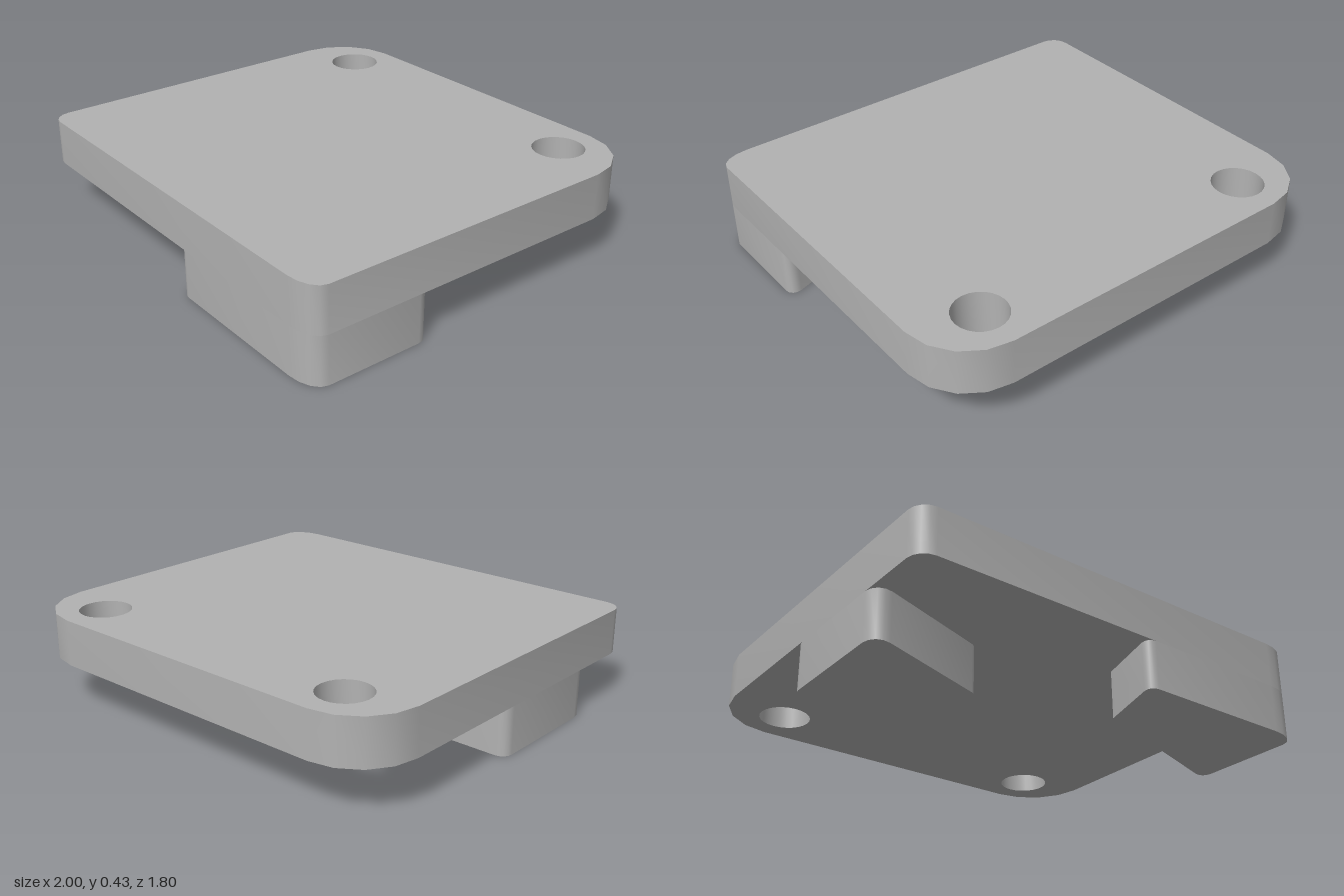
import * as THREE from 'three';
import { toCreasedNormals } from 'three/addons/utils/BufferGeometryUtils.js';

// Outline with rounded corners; each corner is [x, z, setback before, setback after]
function roundedOutline(corners, steps = 4) {
  const points = [];
  corners.forEach(([x, z, before, after], i) => {
    const c = new THREE.Vector2(x, -z);
    if (!before) {
      points.push(c);
      return;
    }
    const at = (n) => {
      const [px, pz] = corners[(n + corners.length) % corners.length];
      return new THREE.Vector2(px, -pz);
    };
    const toPrev = at(i - 1).sub(c).setLength(before);
    const toNext = at(i + 1).sub(c).setLength(after ?? before);
    for (let s = 0; s <= steps; s++) {
      const t = (s / steps) * Math.PI / 2;
      points.push(c.clone()
        .addScaledVector(toPrev, 1 - Math.sin(t))
        .addScaledVector(toNext, 1 - Math.cos(t)));
    }
  });
  return new THREE.Shape(points);
}

// Upright slab from an outline, between two heights
function slab(name, shape, bottom, top, material) {
  const extruded = new THREE.ExtrudeGeometry(shape, {
    depth: top - bottom, bevelEnabled: false, curveSegments: 12,
  });
  extruded.rotateX(-Math.PI / 2).translate(0, bottom, 0);
  const mesh = new THREE.Mesh(toCreasedNormals(extruded, 0.6), material);
  mesh.name = name;
  return mesh;
}

export function createModel() {
  const group = new THREE.Group();
  group.name = 'mountingPlate';
  const grey = new THREE.MeshStandardMaterial({ color: 0xb2b2b2 });
  grey.name = 'grey';
  const underside = 0.22, top = 0.43;

  // Plate: wide rear corners, small front corners
  const plate = roundedOutline([
    [-1, -0.9, 0.29],
    [-1, 0.9, 0.08],
    [1, 0.9, 0.14, 0.08],
    [1, -0.9, 0.29],
  ]);
  // Screw holes through the rear corners
  for (const side of [-1, 1]) {
    const hole = new THREE.Path();
    hole.absarc(side * 0.71, 0.69, 0.118, 0, Math.PI * 2, true);
    plate.holes.push(hole);
  }
  group.add(slab('plate', plate, underside, top, grey));

  // Left foot: flush with the front and side, slanted at the back
  const leftFoot = roundedOutline([
    [0.2, 0.58, 0],
    [0.11, 0.9, 0.05],
    [1, 0.9, 0.14, 0.08],
    [1, 0.32, 0.06],
  ]);
  group.add(slab('leftFoot', leftFoot, 0, underside, grey));

  // Right foot: flush with the side, slanted at the front
  const rightFoot = roundedOutline([
    [-1, -0.02, 0.05],
    [-1, 0.62, 0.09],
    [-0.4, 0.42, 0.03],
    [-0.4, -0.02, 0.06],
  ]);
  group.add(slab('rightFoot', rightFoot, 0, underside, grey));

  return group;
}
